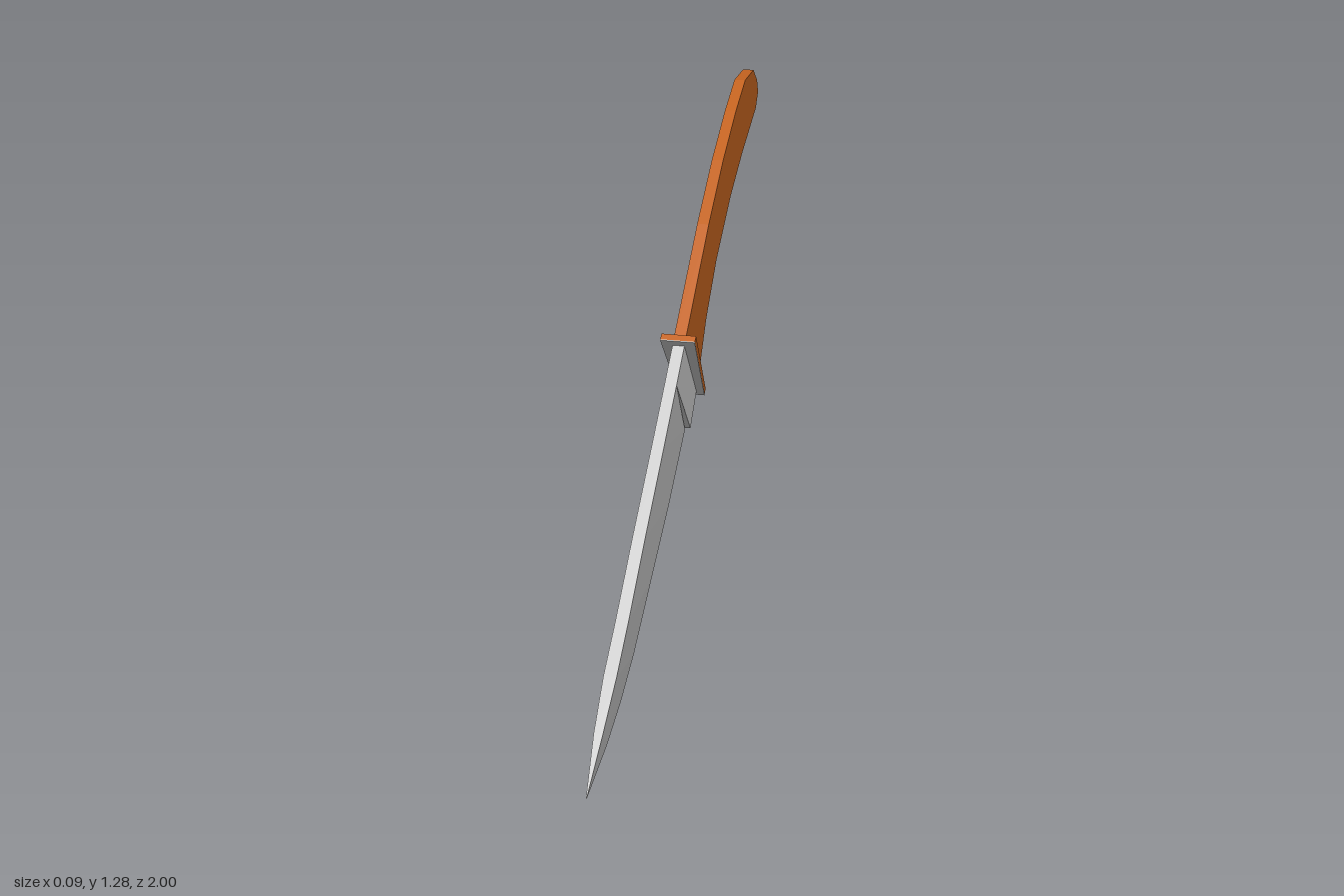
import * as THREE from 'three';

const steel = new THREE.MeshStandardMaterial({ color: 0xcccccc, flatShading: true });
const wood = new THREE.MeshStandardMaterial({ color: 0xc2621f, flatShading: true });

// Lofts four-cornered sections; each is [upper, lower] with points [z, y, halfWidth].
function loft(name, sections, material) {
  const rings = sections.map(([a, b]) => [
    [a[2], a[1], a[0]], [b[2], b[1], b[0]], [-b[2], b[1], b[0]], [-a[2], a[1], a[0]],
  ]);
  const pos = [];
  const quad = (a, b, c, d) => pos.push(...a, ...b, ...c, ...a, ...c, ...d);
  for (let s = 0; s < rings.length - 1; s++) {
    for (let i = 0; i < 4; i++) {
      const j = (i + 1) % 4;
      quad(rings[s][i], rings[s][j], rings[s + 1][j], rings[s + 1][i]);
    }
  }
  const first = rings[0], last = rings[rings.length - 1];
  quad(first[3], first[2], first[1], first[0]);
  quad(last[0], last[1], last[2], last[3]);
  const geometry = new THREE.BufferGeometry();
  geometry.setAttribute('position', new THREE.Float32BufferAttribute(pos, 3));
  geometry.computeVertexNormals();
  const mesh = new THREE.Mesh(geometry, material);
  mesh.name = name;
  return mesh;
}

export function createModel() {
  const group = new THREE.Group();
  group.name = 'knife';
  const T = 0.016; // half thickness of blade and handle

  // Blade: thick spine above, thin cutting edge below
  group.add(loft('blade', [
    [[1, 0.006, 0.001], [1, 0.004, 0.001]],
    [[0.89, 0.105, 0.011], [0.82, 0.03, 0.001]],
    [[0.78, 0.19, T], [0.69, 0.07, 0.002]],
    [[0.66, 0.275, T], [0.56, 0.125, 0.002]],
    [[0.49, 0.41, T], [0.37, 0.235, 0.002]],
    [[0.29, 0.56, T], [0.17, 0.35, 0.002]],
    [[0.14, 0.675, T], [-0.025, 0.482, 0.002]],
  ], steel));

  // Full-thickness base of the blade
  group.add(loft('bladeBase', [
    [[0.14, 0.675, T], [-0.03, 0.485, T]],
    [[0.04, 0.753, T], [-0.11, 0.566, T]],
  ], steel));

  // Guard with a thin steel plate on the blade side
  group.add(loft('guardPlate', [
    [[0.059, 0.765, 0.046], [-0.118, 0.548, 0.036]],
    [[0.057, 0.767, 0.046], [-0.12, 0.55, 0.036]],
  ], steel));
  group.add(loft('guard', [
    [[0.057, 0.767, 0.046], [-0.12, 0.55, 0.036]],
    [[0.041, 0.777, 0.046], [-0.132, 0.563, 0.036]],
  ], wood));

  // Curved handle slab, outlined as [z, y]
  const outline = [
    [0.035, 0.76], [-0.26, 0.99], [-0.455, 1.12], [-0.64, 1.22], [-0.78, 1.28],
    [-0.915, 1.284], [-0.98, 1.24], [-1, 1.2], [-0.965, 1.158], [-0.745, 1.07],
    [-0.57, 0.985], [-0.37, 0.855], [-0.235, 0.73], [-0.115, 0.57],
  ].map(([z, y]) => new THREE.Vector2(z, y));
  const geometry = new THREE.ExtrudeGeometry(new THREE.Shape(outline), { depth: 2 * T, bevelEnabled: false });
  geometry.translate(0, 0, -T).rotateY(-Math.PI / 2);
  const handle = new THREE.Mesh(geometry, wood);
  handle.name = 'handle';
  group.add(handle);

  return group;
}
